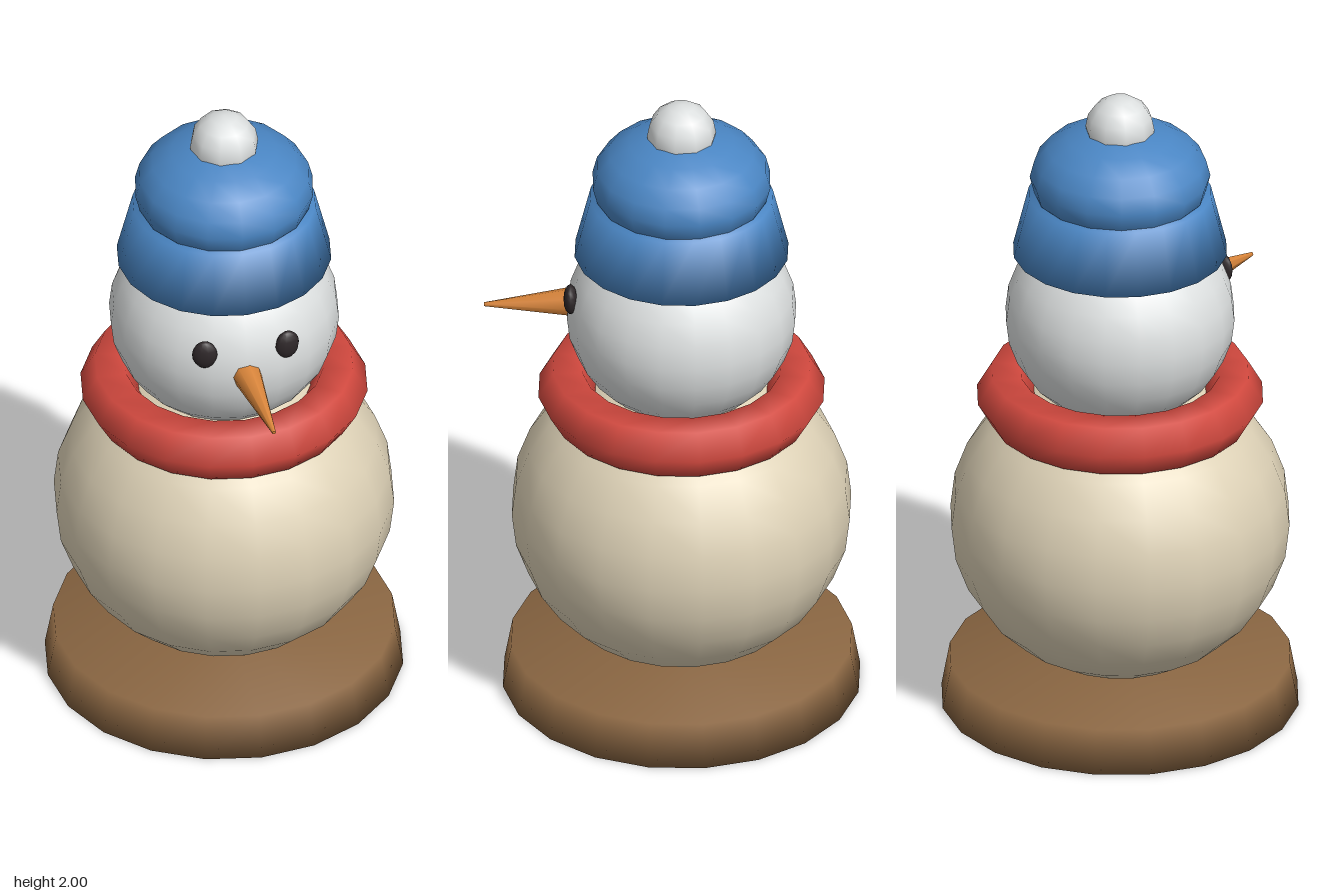
import * as THREE from 'three';
import { mergeVertices } from 'three/addons/utils/BufferGeometryUtils.js';

const mat = (name, color) => {
  const m = new THREE.MeshStandardMaterial({ color });
  m.name = name;
  return m;
};

// Drop split normals so shading rolls softly over the edges
function soften(geo) {
  geo.deleteAttribute('normal');
  geo.deleteAttribute('uv');
  const merged = mergeVertices(geo);
  merged.computeVertexNormals();
  return merged;
}

export function createModel() {
  const cream = mat('cream', 0xddd1b6);
  const snow = mat('snow white', 0xdde0e0);
  const red = mat('scarf red', 0xd0483e);
  const blue = mat('hat blue', 0x4a86c4);
  const brown = mat('base brown', 0x8a6642);
  const orange = mat('carrot orange', 0xd9853a);
  const black = mat('coal', 0x2e2729);

  const model = new THREE.Group();
  model.name = 'snowman';
  const axisZ = -0.028;

  function add(name, geo, material, x, y, z) {
    const mesh = new THREE.Mesh(geo, material);
    mesh.name = name;
    mesh.position.set(x, y, z);
    model.add(mesh);
    return mesh;
  }
  const ball = (rx, ry, rz, sides, rows) => new THREE.SphereGeometry(1, sides, rows).scale(rx, ry, rz);
  const drum = (top, bottom, y0, y1) =>
    soften(new THREE.CylinderGeometry(top, bottom, y1 - y0, 20).translate(0, (y0 + y1) / 2, 0));

  // Stand and snowballs
  add('base', drum(0.513, 0.538, 0, 0.138), brown, 0, 0, axisZ);
  add('body', ball(0.511, 0.485, 0.511, 20, 14), cream, 0, 0.6, axisZ);
  add('head', ball(0.345, 0.325, 0.345, 20, 14), snow, 0, 1.275, axisZ);

  // Scarf ring with a six-sided section
  add('scarf', new THREE.TorusGeometry(0.343, 0.088, 6, 20).rotateX(Math.PI / 2), red, 0, 1.007, axisZ);

  // Hat
  add('hatBrim', drum(0.275, 0.322, 1.49, 1.68), blue, 0, 0, axisZ);
  add('hatCrown', ball(0.27, 0.165, 0.27, 16, 10), blue, 0, 1.735, axisZ);
  add('pompom', ball(0.104, 0.104, 0.104, 10, 8), snow, 0, 1.896, axisZ);

  // Eyes
  for (const side of [-1, 1]) {
    const eye = add(side > 0 ? 'leftEye' : 'rightEye', ball(0.038, 0.047, 0.021, 10, 8), black, side * 0.126, 1.357, 0.286);
    eye.rotation.y = side * 0.2;
  }

  // Carrot nose, running from the face to a slightly drooping tip
  const start = new THREE.Vector3(0, 1.272, 0.3);
  const tip = new THREE.Vector3(0.026, 1.247, 0.567);
  const along = tip.clone().sub(start);
  const mid = start.clone().add(tip).multiplyScalar(0.5);
  const nose = add('nose', new THREE.CylinderGeometry(0.006, 0.045, along.length(), 8), orange, mid.x, mid.y, mid.z);
  nose.quaternion.setFromUnitVectors(new THREE.Vector3(0, 1, 0), along.normalize());

  return model;
}
